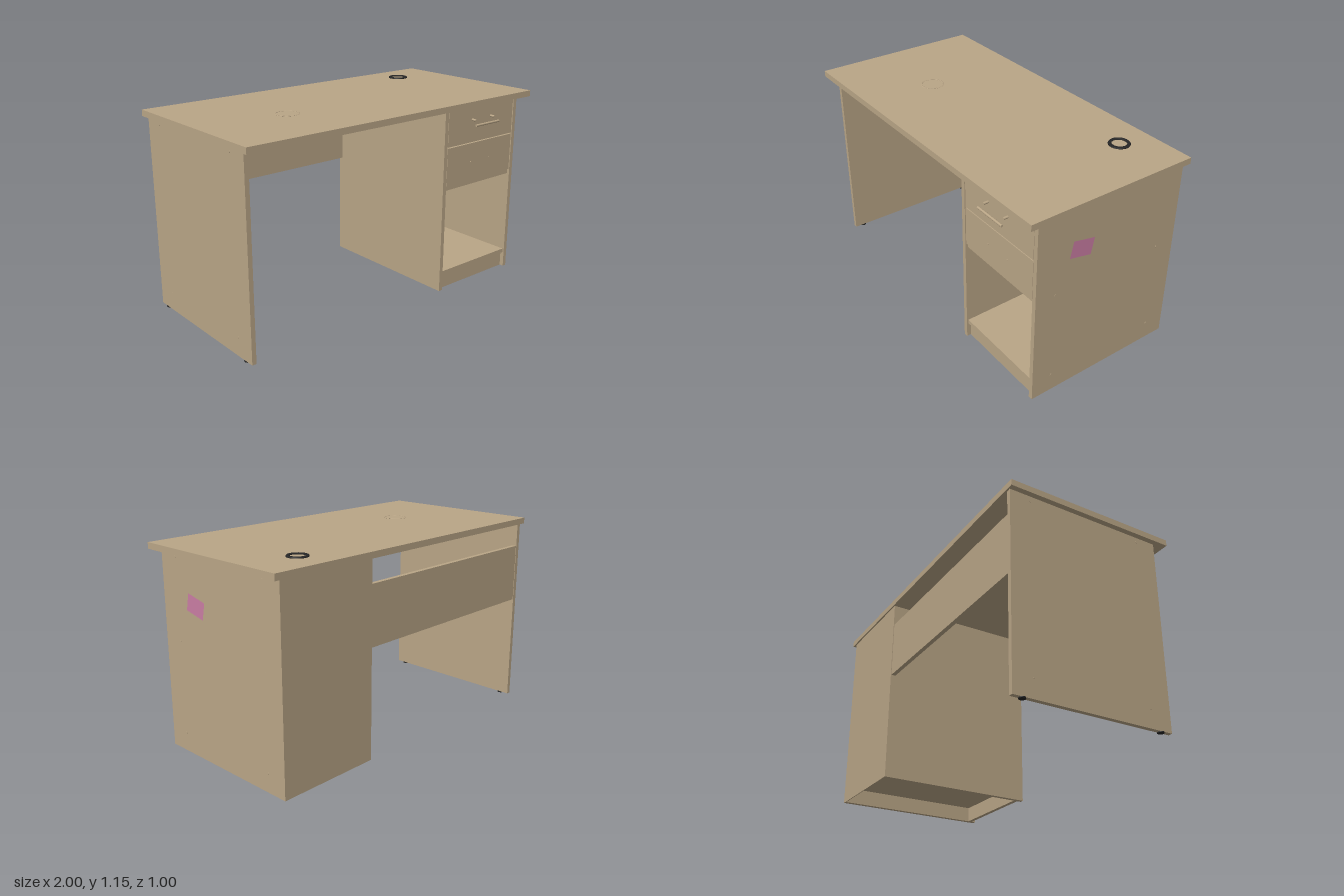
import * as THREE from 'three';

const wood = new THREE.MeshStandardMaterial({ color: 0xb9a586 });
wood.name = 'beige laminate';
const black = new THREE.MeshStandardMaterial({ color: 0x262626 });
black.name = 'black plastic';
const pink = new THREE.MeshStandardMaterial({ color: 0xc97da3, side: THREE.DoubleSide });
pink.name = 'pink sticker';

export function createModel() {
  const desk = new THREE.Group();
  desk.name = 'desk';

  const add = (name, geometry, material = wood) => {
    const mesh = new THREE.Mesh(geometry, material);
    mesh.name = name;
    desk.add(mesh);
    return mesh;
  };
  // Board given by its limits on each axis
  const board = (name, x0, x1, y0, y1, z0, z1) =>
    add(name, new THREE.BoxGeometry(x1 - x0, y1 - y0, z1 - z0))
      .position.set((x0 + x1) / 2, (y0 + y1) / 2, (z0 + z1) / 2);
  // Short rod centred on a point, along x, y or z
  const rod = (name, axis, r, length, x, y, z, material = wood) => {
    const g = new THREE.CylinderGeometry(r, r, length, 20);
    if (axis === 'x') g.rotateZ(Math.PI / 2);
    if (axis === 'z') g.rotateX(Math.PI / 2);
    add(name, g, material).position.set(x, y, z);
  };
  // Flat ring with a rectangular section, lying on the desk top
  const ring = (name, rIn, rOut, height, x, z, material) => {
    const profile = [[rIn, 0], [rOut, 0], [rOut, height * 0.5], [rOut - 0.003, height], [rIn, height], [rIn, 0]]
      .map(([a, b]) => new THREE.Vector2(a, b));
    add(name, new THREE.LatheGeometry(profile, 40), material).position.set(x, 1.14, z);
  };

  // Top and main boards
  board('deskTop', -1, 1, 1.105, 1.14, -0.5, 0.5);
  board('rightSidePanel', -0.97, -0.945, 0.005, 1.105, -0.49, 0.43);
  board('modestyPanel', -0.945, 0.355, 0.635, 0.972, -0.487, -0.462);

  // Drawer pedestal
  board('pedestalInnerSide', 0.355, 0.38, 0.005, 1.105, -0.486, 0.43);
  board('pedestalOuterSide', 0.94, 0.965, 0.005, 1.105, -0.486, 0.43);
  board('pedestalBack', 0.355, 0.965, 0.005, 1.105, -0.491, -0.486);
  board('bottomShelf', 0.38, 0.94, 0.095, 0.12, -0.486, 0.42);
  board('middleShelf', 0.38, 0.94, 0.62, 0.645, -0.486, 0.415);
  board('plinth', 0.38, 0.94, 0.005, 0.095, 0.38, 0.405);

  // Drawers: front plus box behind it
  for (const [name, y0, y1] of [['upperDrawer', 0.88, 1.1], ['lowerDrawer', 0.651, 0.874]]) {
    board(name + 'Front', 0.385, 0.935, y0, y1, 0.403, 0.428);
    board(name + 'Box', 0.395, 0.925, y0 + 0.01, y1 - 0.03, -0.42, 0.403);
  }

  // Handle posts and bar, and fixing screws on the lower drawer
  for (const x of [0.58, 0.738]) {
    rod('handlePost', 'z', 0.007, 0.03, x, 1.013, 0.441);
    rod('drawerScrew', 'z', 0.004, 0.005, x, 0.762, 0.429);
  }
  rod('handleBar', 'x', 0.007, 0.195, 0.658, 0.989, 0.475);

  // Screw caps on the outer faces
  for (const z of [-0.37, 0.31]) {
    for (const y of [0.11, 0.635, 1.085]) rod('screwCap', 'x', 0.006, 0.003, 0.965, y, z);
    for (const y of [0.11, 1.075]) rod('screwCap', 'x', 0.006, 0.003, -0.97, y, z);
  }

  // Feet under the free side panel
  for (const z of [0.37, -0.43]) rod('foot', 'y', 0.018, 0.006, -0.957, 0.003, z, black);

  // Cable grommet and thin ring on the top
  ring('cableGrommet', 0.041, 0.058, 0.007, 0.69, -0.31, black);
  ring('topRing', 0.06, 0.066, 0.002, -0.465, 0.075, wood);

  // Tilted sticker on the pedestal's outer side
  const sticker = add('sticker', new THREE.PlaneGeometry(0.135, 0.095), pink);
  sticker.position.set(0.967, 0.852, 0.155);
  sticker.rotation.set(0, Math.PI / 2, -0.21);

  return desk;
}
